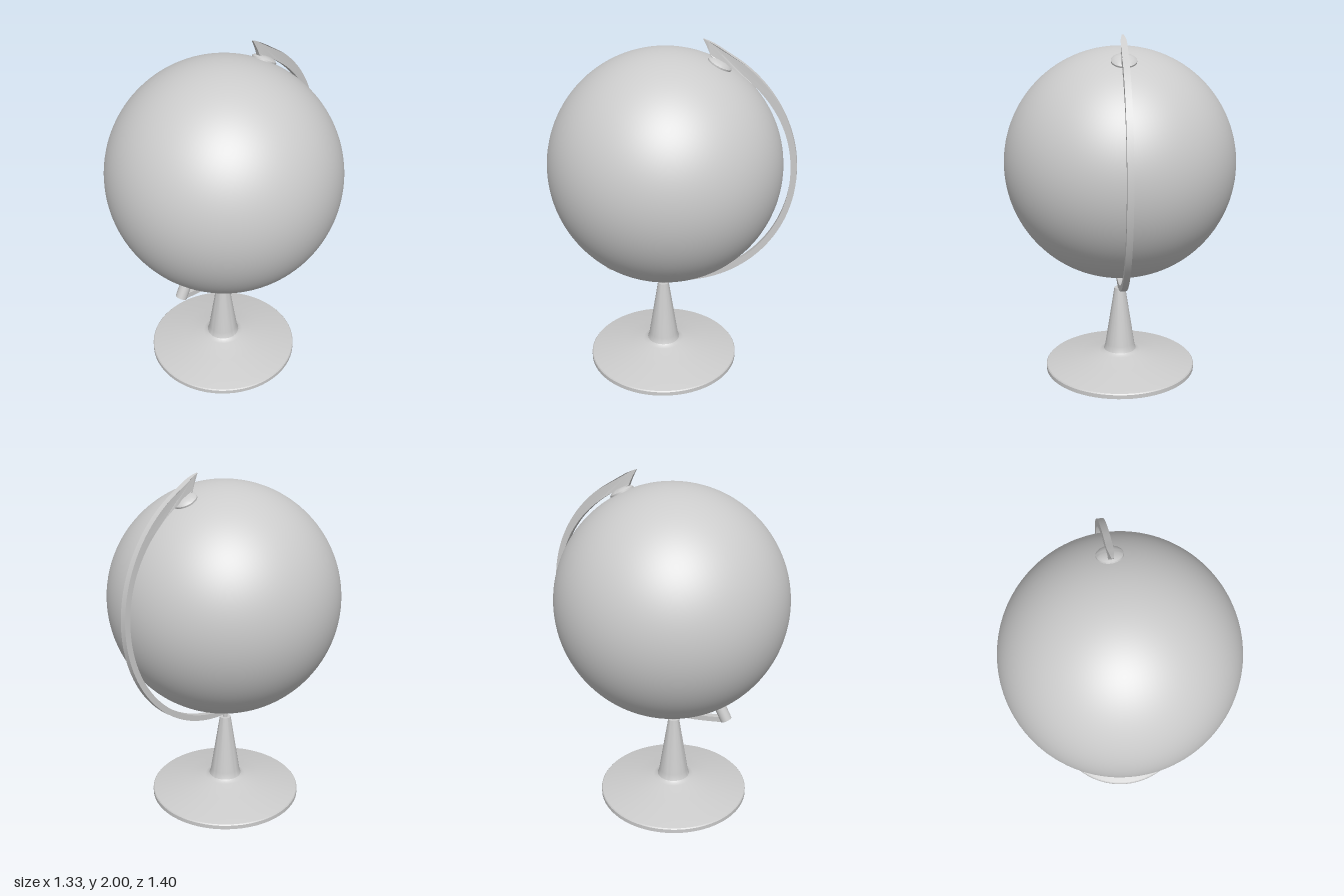
import * as THREE from 'three';
import { toCreasedNormals } from 'three/addons/utils/BufferGeometryUtils.js';

const CY = 1.273, CZ = 0.038, R = 0.665; // ball centre and radius
const TILT = THREE.MathUtils.degToRad(-26.5);
const material = new THREE.MeshStandardMaterial({ color: 0xcccccc, side: THREE.DoubleSide });

function addMesh(parent, name, geometry) {
  const mesh = new THREE.Mesh(geometry, material);
  mesh.name = name;
  parent.add(mesh);
  return mesh;
}

function lathe(points, segments = 64) {
  const profile = points.map(([r, y]) => new THREE.Vector2(r, y));
  return toCreasedNormals(new THREE.LatheGeometry(profile, segments), 0.45);
}

// Point on the arm: angle in degrees from straight below, going round the back
function polar(deg, r) {
  const a = THREE.MathUtils.degToRad(deg);
  return new THREE.Vector2(CZ - r * Math.sin(a), CY - r * Math.cos(a));
}

// Curved arm: outline in the z-y plane, deeper towards the top, narrowed at the tip
function armGeometry() {
  const { smoothstep } = THREE.MathUtils;
  const outer = [[0.36, 0.56], [0.28, 0.549], [0.2, 0.541], [0.12, 0.535]].map(p => new THREE.Vector2(...p));
  const inner = [[0.36, 0.592], [0.28, 0.581], [0.2, 0.574], [0.12, 0.569]].map(p => new THREE.Vector2(...p));
  const steps = 72;
  for (let i = 0; i <= steps; i++) {
    const t = i / steps;
    outer.push(polar(t * 164.2, 0.74 + 0.015 * smoothstep(t, 0.92, 1)));
    inner.push(polar(t * 158.5, 0.706 - 0.024 * smoothstep(t, 0.65, 1)));
  }
  const shape = new THREE.Shape(outer);
  const end = inner[inner.length - 1];
  shape.quadraticCurveTo(-0.2, 1.945, end.x, end.y);
  for (let i = inner.length - 2; i >= 0; i--) shape.lineTo(inner[i].x, inner[i].y);
  const width = 0.034;
  const geo = new THREE.ExtrudeGeometry(shape, { depth: width, bevelEnabled: false, curveSegments: 6 });
  geo.translate(0, 0, -width / 2);
  geo.rotateY(-Math.PI / 2);
  const pos = geo.attributes.position;
  for (let i = 0; i < pos.count; i++) {
    if (pos.getY(i) < 1.5) continue;
    const t = THREE.MathUtils.clamp((pos.getZ(i) + 0.235) / 0.07, 0, 1);
    pos.setX(i, pos.getX(i) * (1 - 0.7 * t));
  }
  return toCreasedNormals(geo, 0.5);
}

export function createModel() {
  const model = new THREE.Group();
  model.name = 'deskGlobe';

  // Hollow foot and tapered stem
  const stand = new THREE.Group();
  stand.name = 'stand';
  stand.position.z = 0.053;
  model.add(stand);
  addMesh(stand, 'baseAndStem', lathe([
    [0.453, 0], [0.453, 0.024], [0.448, 0.03], [0.4, 0.042], [0.25, 0.073], [0.125, 0.099],
    [0.108, 0.104], [0.098, 0.113], [0.092, 0.128], [0.088, 0.15], [0.033, 0.505], [0, 0.505],
  ]));
  addMesh(stand, 'neck', new THREE.CylinderGeometry(0.015, 0.015, 0.06, 24)).position.y = 0.525;

  // Arm holding the ball from below, behind and above
  addMesh(model, 'arm', armGeometry());

  // Ball with its pole fittings on the tilted axis
  const tilted = new THREE.Group();
  tilted.name = 'tiltedBall';
  tilted.position.set(0, CY, CZ);
  tilted.rotation.x = TILT;
  model.add(tilted);
  addMesh(tilted, 'ball', new THREE.SphereGeometry(R, 96, 64));

  const cap = [[0.069, 0.65], [0.069, 0.67], [0.062, 0.676], [0.048, 0.683], [0.03, 0.688], [0, 0.689]];
  addMesh(tilted, 'topCap', lathe(cap, 40));
  addMesh(tilted, 'bottomCap', lathe(cap, 40)).rotation.x = Math.PI;
  addMesh(tilted, 'bottomPin', new THREE.CylinderGeometry(0.034, 0.034, 0.111, 32)).position.y = -0.7255;

  return model;
}
